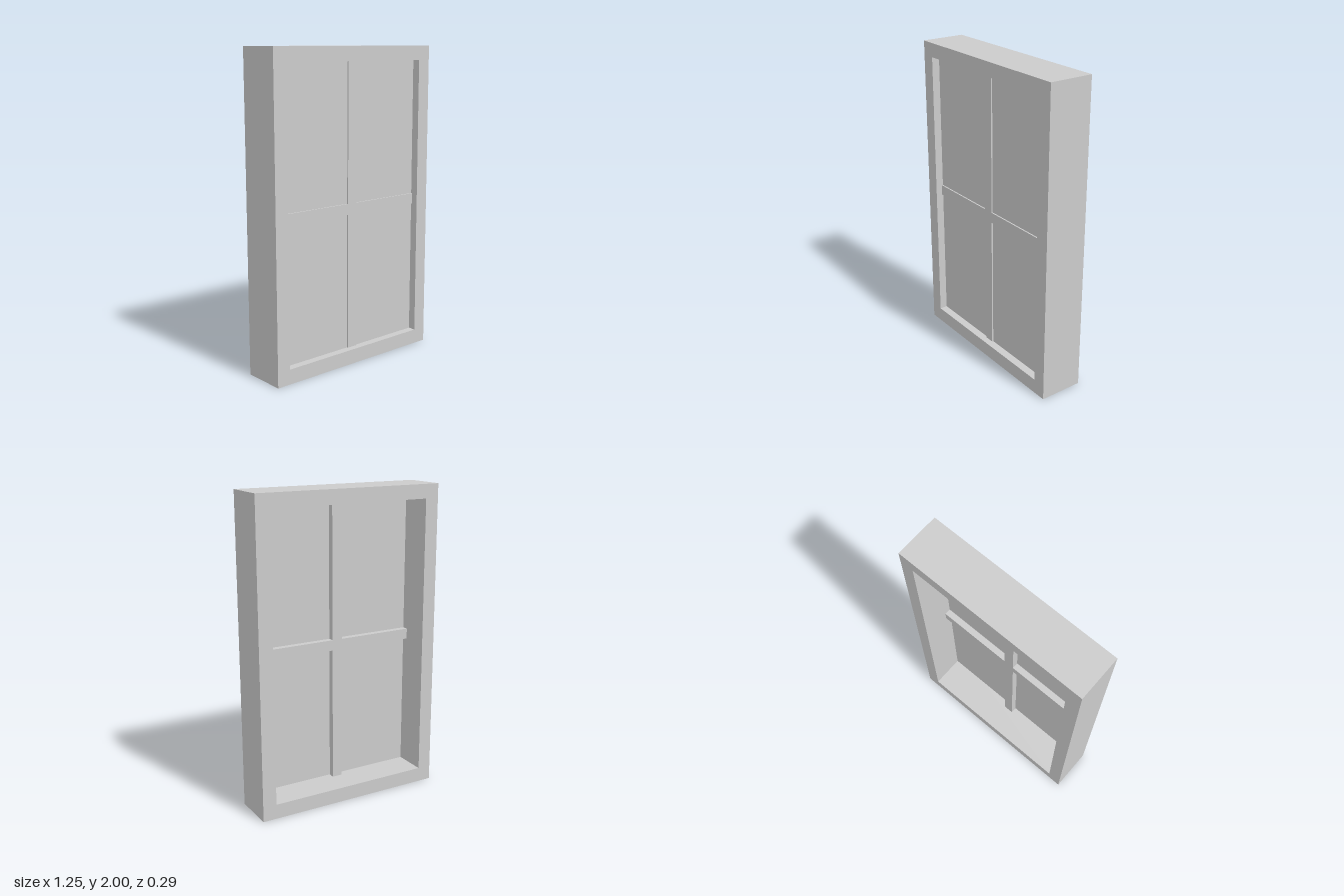
import * as THREE from 'three';

const W = 0.627, D = 0.143;                  // outer half width and half depth
const IN = { x: 0.537, y0: 0.095, y1: 1.91 }; // frame opening
const BAR = 0.034, MID = 1.002;              // glazing bar half width, crossing height

const material = new THREE.MeshStandardMaterial({ color: 0xcccccc, flatShading: true });

function rectPoints(x0, y0, x1, y1) {
  return [[x0, y0], [x1, y0], [x1, y1], [x0, y1]].map(p => new THREE.Vector2(...p));
}

// Flat outline extruded between two depths
function slab(name, shape, z0, z1) {
  const geometry = new THREE.ExtrudeGeometry(shape, { depth: z1 - z0, bevelEnabled: false });
  const mesh = new THREE.Mesh(geometry.translate(0, 0, z0), material);
  mesh.name = name;
  return mesh;
}

export function createModel() {
  const group = new THREE.Group();
  group.name = 'window';

  // Deep outer frame with one rectangular opening
  const frame = new THREE.Shape(rectPoints(-W, 0, W, 2));
  frame.holes.push(new THREE.Path(rectPoints(-IN.x, IN.y0, IN.x, IN.y1)));
  group.add(slab('frame', frame, -D, D));

  // Cross of square glazing bars, set toward the front
  const cross = new THREE.Shape([
    [-BAR, IN.y0], [BAR, IN.y0], [BAR, MID - BAR], [IN.x, MID - BAR],
    [IN.x, MID + BAR], [BAR, MID + BAR], [BAR, IN.y1], [-BAR, IN.y1],
    [-BAR, MID + BAR], [-IN.x, MID + BAR], [-IN.x, MID - BAR], [-BAR, MID - BAR],
  ].map(p => new THREE.Vector2(...p)));
  group.add(slab('glazingBars', cross, 0.033, 0.101));

  // Thin pane filling the opening behind the front of the bars
  const pane = new THREE.Shape(rectPoints(-IN.x, IN.y0, IN.x, IN.y1));
  group.add(slab('pane', pane, 0.074, 0.092));

  return group;
}
